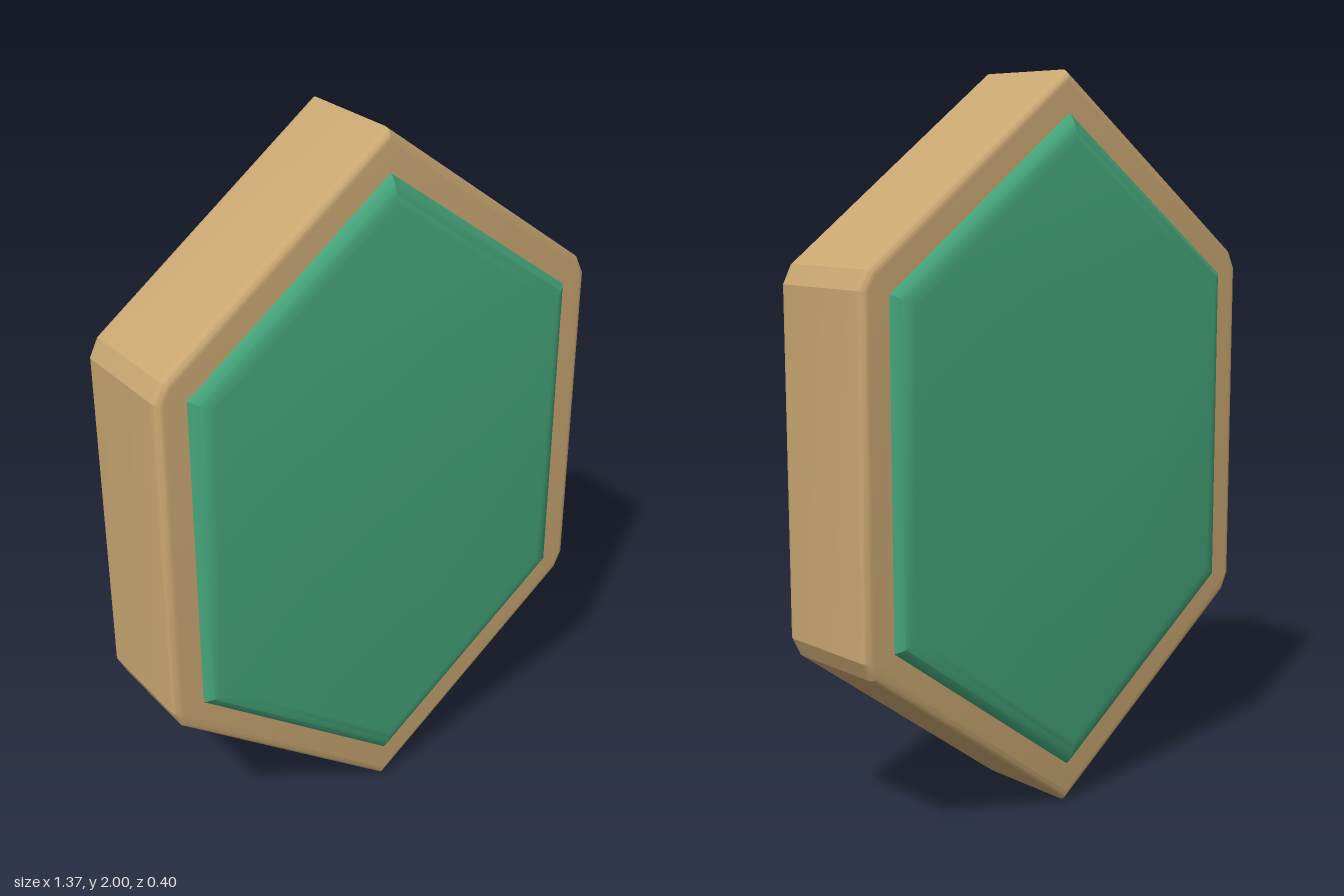
import * as THREE from 'three';
import { toCreasedNormals } from 'three/addons/utils/BufferGeometryUtils.js';

// Rounded slab from the upper-right quarter of its outline, mirrored both ways about y = 1.
function slab(name, quarter, halfDepth, radius, color) {
  const right = [...quarter, ...quarter.slice().reverse().map(([x, y]) => [x, -y])];
  const left = right.slice(1, -1).reverse().map(([x, y]) => [-x, y]);
  const shape = new THREE.Shape([...right, ...left].map(([x, y]) => new THREE.Vector2(x, y)).reverse());
  const depth = 2 * (halfDepth - radius);
  const geometry = new THREE.ExtrudeGeometry(shape, {
    depth,
    bevelEnabled: true,
    bevelSize: radius,
    bevelThickness: radius,
    bevelOffset: -radius,
    bevelSegments: 6,
  });
  geometry.translate(0, 1, -depth / 2);
  const mesh = new THREE.Mesh(
    toCreasedNormals(geometry, 0.38),
    new THREE.MeshStandardMaterial({ color })
  );
  mesh.name = name;
  return mesh;
}

export function createModel() {
  const group = new THREE.Group();
  group.name = 'framedGem';

  // Hexagonal frame with clipped side corners
  group.add(slab('frame', [[0, 1], [0.66, 0.51], [0.685, 0.46]], 0.17, 0.025, 0xc8a671));

  // Gem bulging from both faces of the frame
  group.add(slab('gem', [[0, 0.909], [0.615, 0.456]], 0.2, 0.075, 0x45a57b));

  return group;
}
